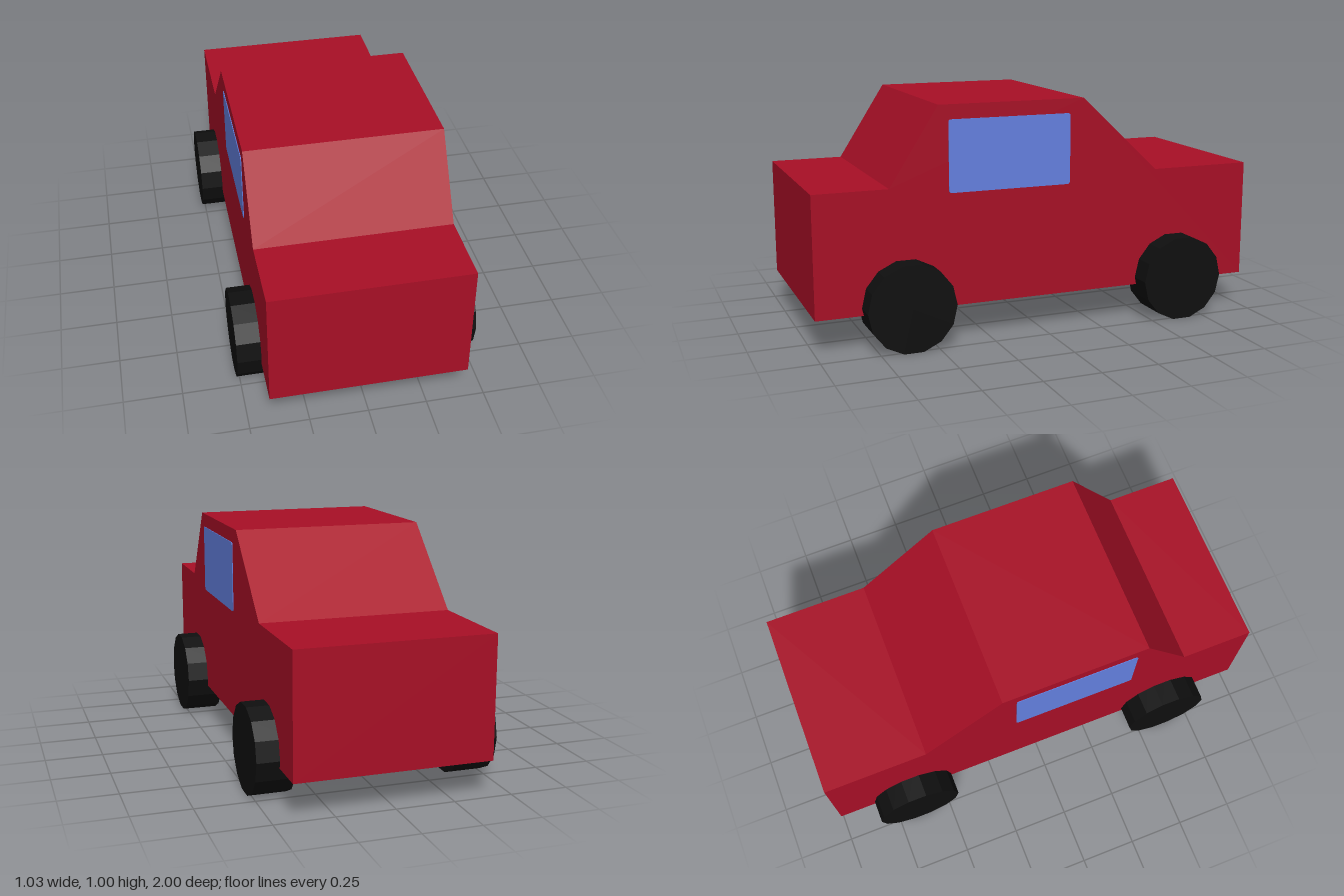
import * as THREE from 'three';

const paint = new THREE.MeshStandardMaterial({ color: 0xa80f26 });
paint.name = 'red paint';
const rubber = new THREE.MeshStandardMaterial({ color: 0x0f0f0f });
rubber.name = 'black rubber';
const glass = new THREE.MeshStandardMaterial({ color: 0x6480e0 });
glass.name = 'blue glass';

// Extrudes a side outline, given in (z, y), across the car from x0 to x1
function extrudeAcross(shape, x0, x1) {
  const geometry = new THREE.ExtrudeGeometry(shape, { depth: x1 - x0, bevelEnabled: false, curveSegments: 3 });
  return geometry.rotateY(-Math.PI / 2).translate(x1, 0, 0);
}

function roundedRect(z0, y0, z1, y1, r) {
  const s = new THREE.Shape();
  s.moveTo(z0 + r, y0);
  s.lineTo(z1 - r, y0);
  s.quadraticCurveTo(z1, y0, z1, y0 + r);
  s.lineTo(z1, y1 - r);
  s.quadraticCurveTo(z1, y1, z1 - r, y1);
  s.lineTo(z0 + r, y1);
  s.quadraticCurveTo(z0, y1, z0, y1 - r);
  s.lineTo(z0, y0 + r);
  s.quadraticCurveTo(z0, y0, z0 + r, y0);
  return s;
}

export function createModel() {
  const car = new THREE.Group();
  car.name = 'car';
  const add = (name, geometry, material) => {
    const mesh = new THREE.Mesh(geometry, material);
    mesh.name = name;
    car.add(mesh);
    return mesh;
  };

  // Body: one side profile with hood, cabin and rear deck
  const profile = new THREE.Shape([
    [-1, 0.153], [1, 0.153], [1, 0.673], [0.68, 0.673],
    [0.468, 1.005], [-0.185, 1.005], [-0.54, 0.673], [-1, 0.673],
  ].map(([z, y]) => new THREE.Vector2(z, y)));
  add('body', extrudeAcross(profile, -0.414, 0.42), paint);

  // Side windows: thin plates on the cabin sides
  const pane = roundedRect(-0.122, 0.637, 0.425, 0.943, 0.012);
  add('leftWindow', extrudeAcross(pane, 0.416, 0.423), glass);
  add('rightWindow', extrudeAcross(pane, -0.417, -0.41), glass);

  // Wheels: 14-sided, with flats at top and bottom
  const radius = 0.19;
  const wheel = new THREE.CylinderGeometry(radius, radius, 0.163, 14).rotateZ(Math.PI / 2).toNonIndexed();
  wheel.computeVertexNormals();
  for (const [end, z] of [['front', 0.615], ['rear', -0.64]]) {
    for (const [side, sign] of [['Left', 1], ['Right', -1]]) {
      add(end + side + 'Wheel', wheel, rubber)
        .position.set(sign * 0.434, radius * Math.cos(Math.PI / 14), z);
    }
  }
  return car;
}
